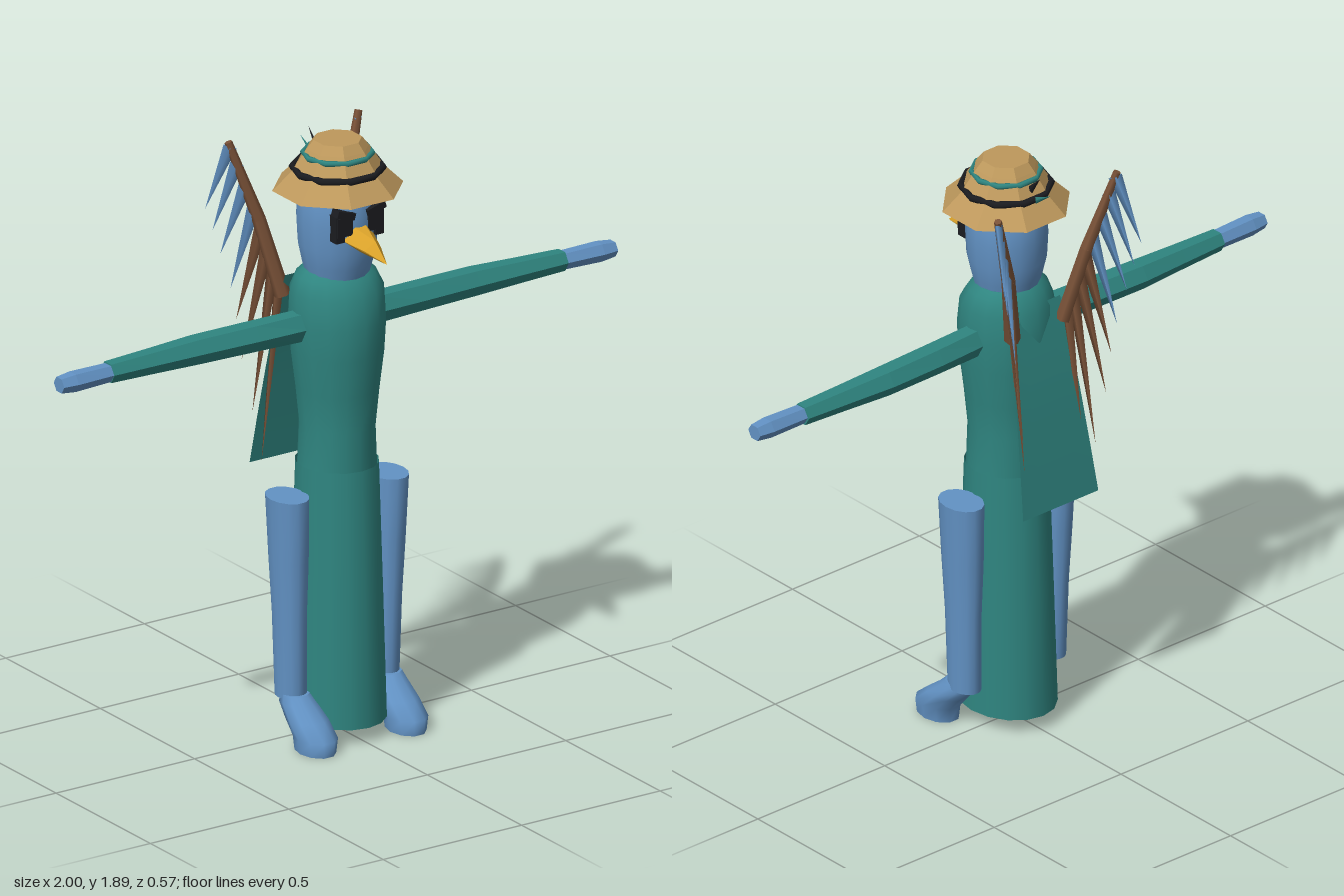
import * as THREE from 'three';
import { ConvexGeometry } from 'three/addons/geometries/ConvexGeometry.js';

const paint = (name, color, extra = {}) => {
  const m = new THREE.MeshStandardMaterial({ color, ...extra });
  m.name = name;
  return m;
};

// Stacks elliptical rings [cx, y, cz, rx, rz] into a skin, with optional flat ends.
function loft(rings, sides, { caps = true, flat = false, start = 0 } = {}) {
  const pos = [], idx = [];
  const addRing = ([cx, y, cz, rx, rz]) => {
    const first = pos.length / 3;
    for (let i = 0; i < sides; i++) {
      const a = start + (i / sides) * Math.PI * 2;
      pos.push(cx + Math.cos(a) * rx, y, cz + Math.sin(a) * rz);
    }
    return first;
  };
  const firsts = rings.map(addRing);
  for (let k = 0; k + 1 < rings.length; k++) {
    for (let i = 0; i < sides; i++) {
      const j = (i + 1) % sides, a = firsts[k], u = firsts[k + 1];
      idx.push(a + i, u + i, a + j, a + j, u + i, u + j);
    }
  }
  if (caps) {
    [rings[0], rings[rings.length - 1]].forEach((ring, top) => {
      const f = addRing(ring), c = pos.length / 3;
      pos.push(ring[0], ring[1], ring[2]);
      for (let i = 0; i < sides; i++) {
        const j = (i + 1) % sides;
        idx.push(c, f + (top ? j : i), f + (top ? i : j));
      }
    });
  }
  let g = new THREE.BufferGeometry();
  g.setAttribute('position', new THREE.Float32BufferAttribute(pos, 3));
  g.setIndex(idx);
  if (flat) g = g.toNonIndexed();
  g.computeVertexNormals();
  return g;
}

// Tapered rod from p to q, optionally flattened across its width.
function rod(p, q, rStart, rEnd, sides = 6, flatten = 1) {
  const a = new THREE.Vector3(...p), b = new THREE.Vector3(...q);
  const dir = b.clone().sub(a);
  const g = new THREE.CylinderGeometry(rEnd, rStart, dir.length(), sides);
  g.scale(flatten, 1, 1);
  g.applyQuaternion(new THREE.Quaternion().setFromUnitVectors(new THREE.Vector3(0, 1, 0), dir.normalize()));
  const mid = a.add(b).multiplyScalar(0.5);
  return g.translate(mid.x, mid.y, mid.z);
}

export function createModel() {
  const model = new THREE.Group();
  model.name = 'robedBird';
  const teal = paint('tealCloth', 0x2f8580, { side: THREE.DoubleSide });
  const blue = paint('bluePlumage', 0x6292c4);
  const brown = paint('brownWing', 0x7a5238);
  const straw = paint('straw', 0xbd985c);
  const gold = paint('goldBeak', 0xdba32a);
  const black = paint('black', 0x1b1c20);
  const add = (name, geometry, material, parent = model) => {
    const m = new THREE.Mesh(geometry, material);
    m.name = name;
    parent.add(m);
    return m;
  };

  // Robe: long skirt and fitted upper body
  add('skirt', loft([
    [0, 0.05, 0.022, 0.14, 0.168], [0, 0.45, 0.022, 0.133, 0.15], [0, 0.86, 0.022, 0.124, 0.132],
  ], 16, { caps: false }), teal);
  add('upperRobe', loft([
    [0, 0.82, 0.022, 0.12, 0.126], [0, 0.98, 0.022, 0.112, 0.124], [0, 1.1, 0.022, 0.125, 0.134],
    [0, 1.22, 0.022, 0.14, 0.148], [0, 1.32, 0.022, 0.147, 0.152], [0, 1.41, 0.02, 0.145, 0.14],
    [0, 1.46, 0.015, 0.125, 0.112], [0, 1.48, 0.012, 0.1, 0.09],
  ], 16), teal);

  // Cape: thin sheet hanging away from the back
  const cape = new THREE.PlaneGeometry(2, 1, 4, 4);
  const cp = cape.attributes.position;
  for (let i = 0; i < cp.count; i++) {
    const t = 0.5 - cp.getY(i);
    cp.setXYZ(i, cp.getX(i) * (0.105 + 0.043 * t), 1.43 - 0.63 * t, -0.1 - 0.125 * Math.pow(t, 0.8));
  }
  cape.computeVertexNormals();
  add('cape', cape, teal);

  // Head
  add('head', loft([
    [0, 1.44, 0.022, 0.09, 0.092], [0, 1.5, 0.022, 0.106, 0.109], [0, 1.56, 0.022, 0.118, 0.124],
    [0, 1.64, 0.022, 0.123, 0.127], [0, 1.71, 0.022, 0.119, 0.124], [0, 1.77, 0.022, 0.1, 0.1],
  ], 16), blue);

  // Beak: broad base curving down to a point
  add('beak', new ConvexGeometry([
    [-0.057, 1.605, 0.13], [0.057, 1.605, 0.13], [-0.025, 1.648, 0.125], [0.025, 1.648, 0.125],
    [0, 1.56, 0.13], [-0.03, 1.59, 0.21], [0.03, 1.59, 0.21], [0, 1.62, 0.225], [0, 1.565, 0.287],
  ].map((p) => new THREE.Vector3(...p))), gold);

  // Hat: eight-sided brim and crown
  add('hat', loft([
    [0, 1.733, 0.025, 0.2, 0.2], [0, 1.79, 0.025, 0.142, 0.142], [0, 1.835, 0.025, 0.112, 0.112],
    [0, 1.86, 0.025, 0.095, 0.095], [0, 1.887, 0.025, 0.074, 0.074],
  ], 8, { flat: true, start: Math.PI / 8 }), straw);
  [['lowerHatBand', 1.796, 0.136, 0.011, black], ['upperHatBand', 1.842, 0.104, 0.009, teal]].forEach(([name, y, r, w, mat]) => {
    const band = new THREE.TorusGeometry(r, w, 6, 10).rotateX(Math.PI / 2);
    add(name, band.translate(0, y, 0.025), mat);
  });
  add('hatFeatherDark', rod([0, 1.82, -0.085], [0, 1.875, -0.13], 0.012, 0, 4, 0.4), black);
  add('hatFeatherTeal', rod([0, 1.79, -0.1], [0, 1.835, -0.175], 0.012, 0, 4, 0.4), teal);

  for (const s of [1, -1]) {
    const side = s > 0 ? 'left' : 'right';

    // Eye with slanted brow
    const eye = new THREE.Group();
    eye.name = side + 'Eye';
    model.add(eye);
    add('eye', new THREE.BoxGeometry(0.055, 0.06, 0.03).translate(s * 0.056, 1.652, 0.134), black, eye);
    add('outerEyeMark', new THREE.BoxGeometry(0.03, 0.085, 0.04).translate(s * 0.071, 1.645, 0.125), black, eye);
    add('brow', new THREE.BoxGeometry(0.065, 0.022, 0.035).rotateZ(s * 0.3)
      .translate(s * 0.055, 1.69, 0.137), black, eye);

    // Arm: six-sided sleeve and hand
    const arm = new THREE.Group();
    arm.name = side + 'Arm';
    model.add(arm);
    const limb = (rings) => loft(rings, 6, { flat: true, start: Math.PI / 2 })
      .rotateZ(-s * Math.PI / 2).translate(0, 1.312, 0);
    add('sleeve', limb([
      [0, 0.13, 0.017, 0.05, 0.046], [0, 0.3, 0.01, 0.047, 0.05], [0, 0.5, 0.004, 0.045, 0.049],
      [0, 0.66, 0.007, 0.039, 0.042], [0, 0.82, 0.01, 0.034, 0.036],
    ]), teal, arm);
    add('hand', limb([[0, 0.815, 0.012, 0.029, 0.032], [0, 0.95, 0.015, 0.032, 0.034], [0, 1, 0.016, 0.026, 0.028]]), blue, arm);

    // Leg and slanting foot
    add(side + 'Leg', loft([
      [s * 0.167, 0.14, 0.021, 0.044, 0.058], [s * 0.172, 0.4, 0.021, 0.047, 0.064],
      [s * 0.175, 0.58, 0.021, 0.054, 0.074], [s * 0.18, 0.78, 0.021, 0.06, 0.08],
    ], 14), blue);
    add(side + 'Foot', loft([
      [s * 0.163, 0, 0.146, 0.056, 0.076], [s * 0.163, 0.045, 0.146, 0.062, 0.079],
      [s * 0.163, 0.09, 0.1, 0.062, 0.07], [s * 0.165, 0.13, 0.055, 0.053, 0.062],
      [s * 0.167, 0.155, 0.045, 0.042, 0.045],
    ], 10), blue);

    // Wing: slanted bone with long hanging feathers
    const wing = new THREE.Group();
    wing.name = side + 'Wing';
    model.add(wing);
    const low = [s * 0.1, 1.36, -0.12], bend = [s * 0.155, 1.6, -0.165], high = [s * 0.235, 1.85, -0.21];
    add('lowerBone', rod(low, bend, 0.025, 0.021), brown, wing);
    add('upperBone', rod(bend, high, 0.021, 0.012), brown, wing);
    // Each feather: height of root on the bone (0 to 1), then its tip
    [
      [0.08, 0.115, 0.8, -0.21], [0.2, 0.14, 0.96, -0.222], [0.32, 0.17, 1.13, -0.235],
      [0.45, 0.185, 1.26, -0.242], [0.58, 0.2, 1.36, -0.25], [0.72, 0.227, 1.47, -0.265],
      [0.86, 0.25, 1.55, -0.272], [0.97, 0.27, 1.62, -0.282],
    ].forEach(([t, x, y, z], i) => {
      const root = low.map((v, k) => (t < 0.5
        ? v + (bend[k] - v) * t * 2 : bend[k] + (high[k] - bend[k]) * (t * 2 - 1)));
      add('feather' + (i + 1), rod(root, [s * x, y, z], 0.021, 0, 4, 0.6), i < 4 ? brown : blue, wing);
    });
  }
  return model;
}
